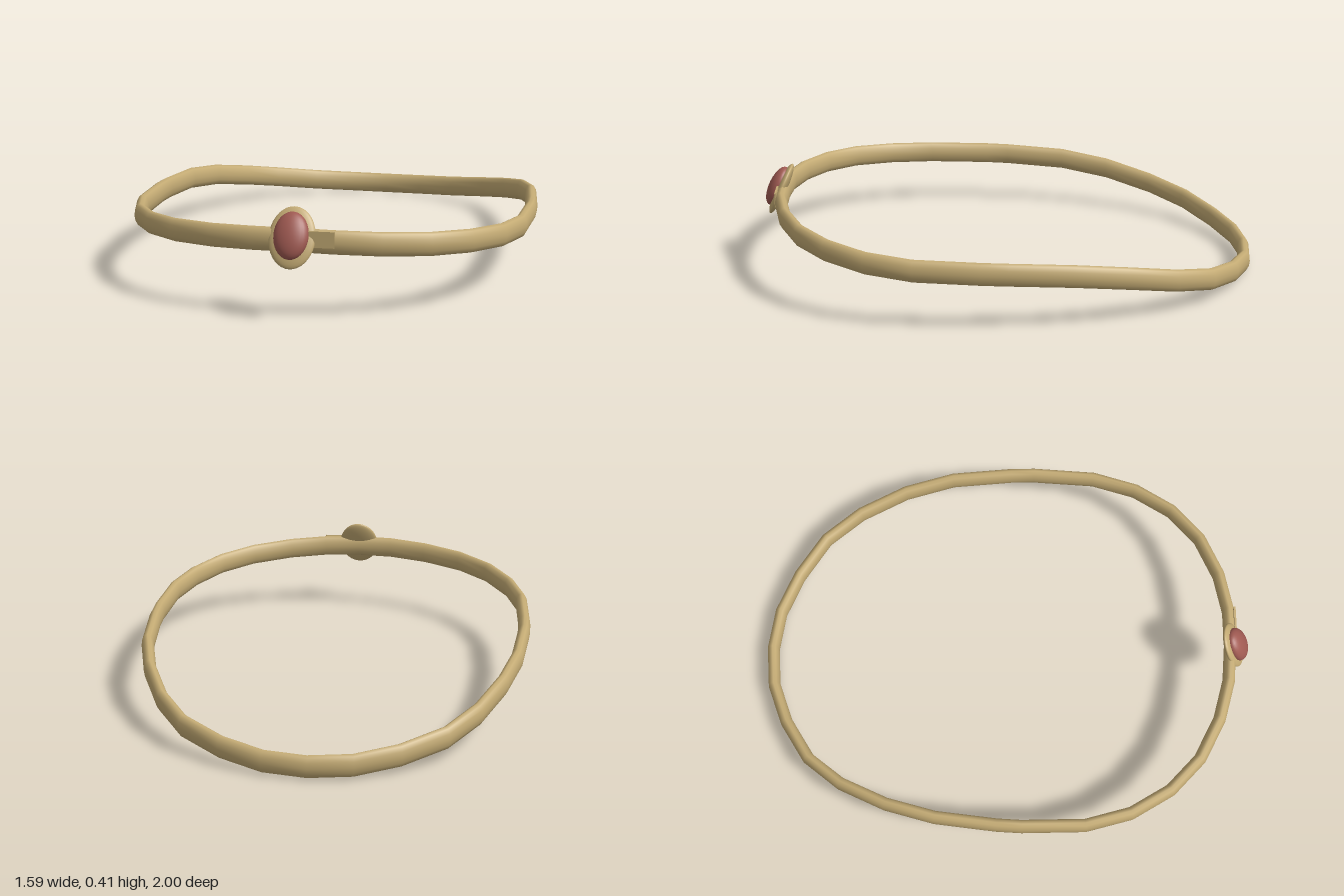
import * as THREE from 'three';

const gold = new THREE.MeshStandardMaterial({ color: 0xc4ab74 });
gold.name = 'pale gold';
const red = new THREE.MeshStandardMaterial({ color: 0xa05a52 });
red.name = 'dull red';

// Outer edge of the left half of the band, back to front: x, y, z
const half = [
  [0, 0.048, -1], [0.17, 0.053, -0.98], [0.34, 0.07, -0.91], [0.505, 0.1, -0.8],
  [0.62, 0.137, -0.65], [0.71, 0.18, -0.455], [0.765, 0.209, -0.25], [0.79, 0.224, 0],
  [0.793, 0.228, 0.1], [0.78, 0.236, 0.355], [0.725, 0.247, 0.54], [0.625, 0.262, 0.7],
  [0.49, 0.274, 0.82], [0.32, 0.285, 0.9], [0.155, 0.293, 0.938], [0, 0.296, 0.945],
];

// Closed loop of upright oval sections
function bandGeometry(sides = 12, thick = 0.025, tall = 0.045) {
  const loop = [...half, ...half.slice(1, -1).reverse().map(([x, y, z]) => [-x, y, z])];
  const n = loop.length, pos = [], index = [];
  loop.forEach(([x, y, z], i) => {
    const a = loop[(i + n - 1) % n], b = loop[(i + 1) % n];
    const out = new THREE.Vector3(a[2] - b[2], 0, b[0] - a[0]).normalize();
    if (out.x * x + out.z * z < 0) out.negate();
    for (let j = 0; j < sides; j++) {
      const t = (j / sides) * Math.PI * 2;
      const r = thick * (Math.cos(t) - 1);
      pos.push(x + out.x * r, y + tall * Math.sin(t), z + out.z * r);
    }
  });
  for (let i = 0; i < n; i++) {
    for (let j = 0; j < sides; j++) {
      const k = (j + 1) % sides, m = (i + 1) % n;
      const a = i * sides + j, b = i * sides + k, c = m * sides + k, d = m * sides + j;
      index.push(a, b, c, a, c, d);
    }
  }
  const g = new THREE.BufferGeometry();
  g.setAttribute('position', new THREE.Float32BufferAttribute(pos, 3));
  g.setIndex(index);
  g.computeVertexNormals();
  return g;
}

function oval(name, material, rx, ry, rz) {
  const mesh = new THREE.Mesh(new THREE.SphereGeometry(1, 28, 18).scale(rx, ry, rz), material);
  mesh.name = name;
  return mesh;
}

export function createModel() {
  const model = new THREE.Group();
  model.name = 'circlet';

  const band = new THREE.Mesh(bandGeometry(), gold);
  band.name = 'band';
  model.add(band);

  // Overlapping end of the band beside the jewel
  const clasp = new THREE.Mesh(new THREE.BoxGeometry(0.155, 0.06, 0.008), gold);
  clasp.name = 'clasp';
  clasp.position.set(0.078, 0.307, 0.938);
  clasp.rotation.y = 0.045;
  model.add(clasp);

  // Jewel leaning back with the brow
  const jewel = new THREE.Group();
  jewel.name = 'jewel';
  jewel.position.set(0, 0.307, 0.932);
  jewel.rotation.x = -0.45;
  const setting = oval('setting', gold, 0.086, 0.114, 0.022);
  const gem = oval('gem', red, 0.064, 0.087, 0.036);
  gem.position.set(0, 0.004, 0.018);
  jewel.add(setting, gem);
  model.add(jewel);

  return model;
}
